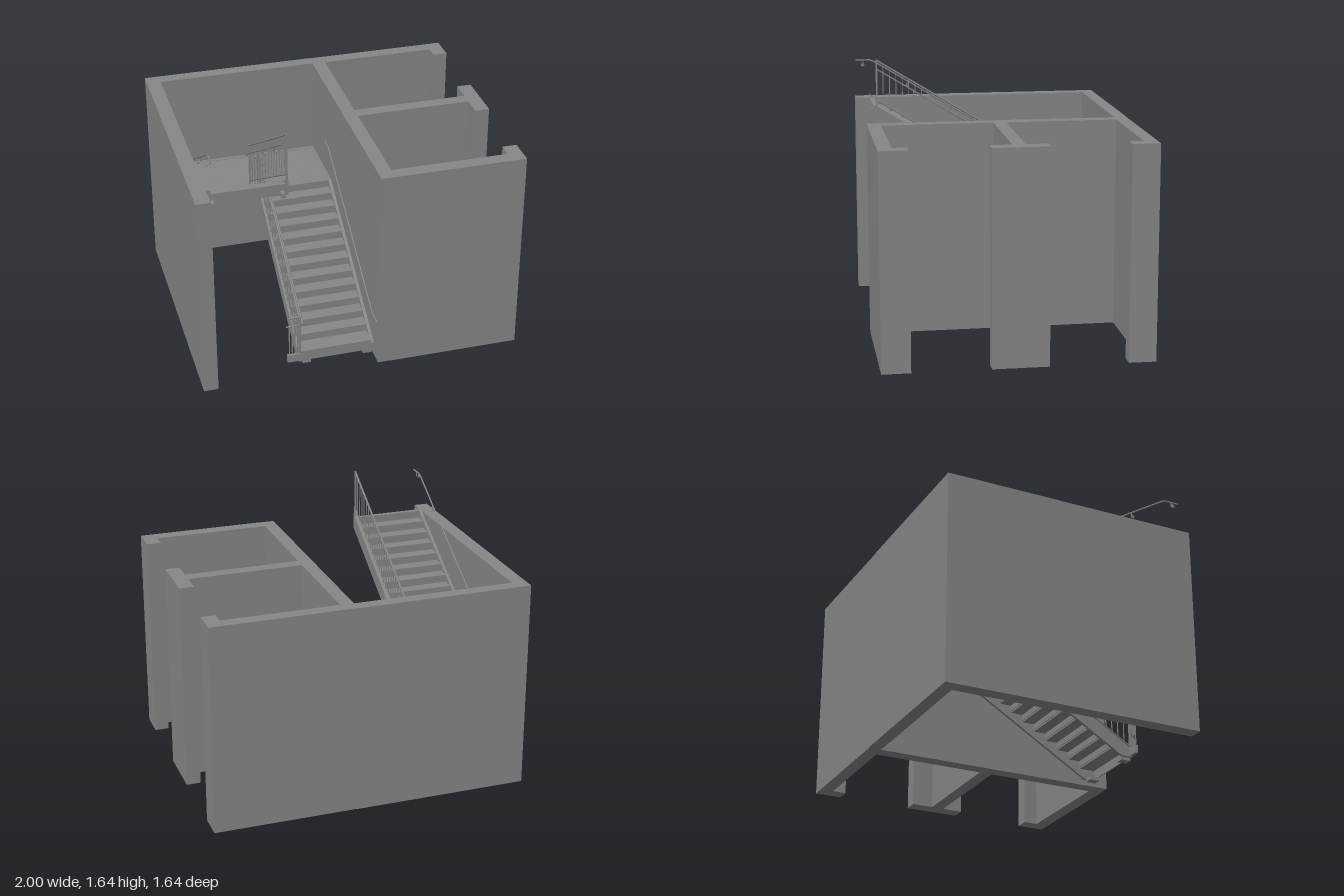
import * as THREE from 'three';

const mat = new THREE.MeshStandardMaterial({ color: 0x868686, side: THREE.DoubleSide });
const SLOPE = 0.609, RUN = 0.081;
const WALL_H = 1.32, LANDING_Y = 0.697;

function add(parent, name, geometry) {
  const mesh = new THREE.Mesh(geometry, mat);
  mesh.name = name;
  parent.add(mesh);
  return mesh;
}

// Box given by its limits
function box(parent, name, x0, x1, y0, y1, z0, z1) {
  const g = new THREE.BoxGeometry(x1 - x0, y1 - y0, z1 - z0);
  g.translate((x0 + x1) / 2, (y0 + y1) / 2, (z0 + z1) / 2);
  return add(parent, name, g);
}

// Side profile of [z, y] points, extruded from x0 to x1
function plate(parent, name, x0, x1, points) {
  const shape = new THREE.Shape(points.map(([z, y]) => new THREE.Vector2(-z, y)));
  const g = new THREE.ExtrudeGeometry(shape, { depth: x1 - x0, bevelEnabled: false });
  g.rotateY(Math.PI / 2).translate(x0, 0, 0);
  return add(parent, name, g);
}

// Round bar through a list of [x, y, z] points
function bar(parent, name, points, r) {
  const path = new THREE.CurvePath();
  const v = points.map(p => new THREE.Vector3(...p));
  for (let i = 1; i < v.length; i++) path.add(new THREE.LineCurve3(v[i - 1], v[i]));
  return add(parent, name, new THREE.TubeGeometry(path, (v.length - 1) * 12, r, 8, false));
}

function buildWalls() {
  const walls = new THREE.Group();
  walls.name = 'walls';
  const plan = [
    ['leftWall', -1, -0.91, -0.74, 0.817],
    ['backWallStair', -1, 0.1, -0.82, -0.74],
    ['backWallRooms', 0.1, 1, -0.817, -0.735],
    ['middleWall', 0.1, 0.185, -0.735, 0.817],
    ['partitionWall', 0.185, 0.91, -0.04, 0.04],
    ['frontWall', 0.185, 0.91, 0.735, 0.82],
    ['backReturn', 0.91, 1, -0.735, -0.65],
    ['partitionReturn', 0.91, 1, -0.175, 0.17],
    ['frontReturn', 0.91, 1, 0.645, 0.82],
  ];
  for (const [name, x0, x1, z0, z1] of plan) box(walls, name, x0, x1, 0, WALL_H, z0, z1);
  return walls;
}

// Folded steps: dir is the z direction of climbing
function buildSteps(parent, x0, x1, zFirst, yFirst, count, rise, dir) {
  for (let i = 0; i < count; i++) {
    const z = zFirst + dir * RUN * i, y = yFirst + rise * i;
    const zEnd = z + dir * RUN;
    box(parent, 'riser', x0, x1, y, y + rise, z - 0.004, z + 0.004);
    if (i < count - 1) {
      box(parent, 'tread', x0, x1, y + rise - 0.01, y + rise, Math.min(z, zEnd), Math.max(z, zEnd));
    }
  }
}

// Sloped guard with posts, two rails and balusters; topAt(z) is the height of its top rail
function buildGuard(parent, x, topAt, zA, zB) {
  const guard = new THREE.Group();
  guard.name = 'guard';
  const at = (z, drop) => [x, topAt(z) - drop, z];
  bar(guard, 'topRail', [at(zA, 0.006), at(zB, 0.006)], 0.006);
  bar(guard, 'bottomRail', [at(zA, 0.265), at(zB, 0.265)], 0.005);
  for (const z of [zA, zB]) {
    box(guard, 'post', x - 0.006, x + 0.006, topAt(z) - 0.32, topAt(z), z - 0.005, z + 0.005);
  }
  const n = 24;
  for (let i = 1; i < n; i++) {
    const z = zA + (zB - zA) * i / n;
    box(guard, 'baluster', x - 0.0025, x + 0.0025, topAt(z) - 0.265, topAt(z) - 0.006, z - 0.0025, z + 0.0025);
  }
  parent.add(guard);
}

// Short level guard that closes the gap between the flights
function buildGapGuard(parent, y0, y1, z) {
  const guard = new THREE.Group();
  guard.name = 'gapGuard';
  bar(guard, 'topRail', [[-0.44, y1 - 0.006, z], [-0.37, y1 - 0.006, z]], 0.006);
  bar(guard, 'bottomRail', [[-0.44, y0, z], [-0.37, y0, z]], 0.005);
  for (const x of [-0.44, -0.422, -0.405, -0.388, -0.37]) {
    box(guard, 'baluster', x - 0.003, x + 0.003, y0, y1 - 0.006, z - 0.003, z + 0.003);
  }
  parent.add(guard);
}

// Hooked handrail bracket from the rail towards xWall
function bracket(parent, x, y, z, xWall) {
  bar(parent, 'railBracket', [[x, y, z], [x, y - 0.03, z], [xWall, y - 0.035, z]], 0.004);
  const rose = new THREE.CylinderGeometry(0.011, 0.011, 0.005, 12);
  rose.rotateZ(Math.PI / 2).translate(xWall, y - 0.035, z);
  add(parent, 'bracketRose', rose);
}

export function createModel() {
  const model = new THREE.Group();
  model.name = 'stairwell';
  model.add(buildWalls());

  const lowerTop = z => 0.37 + SLOPE * (0.72 - z);
  const upperTop = z => 1.64 - SLOPE * (0.71 - z);

  // Lower flight, climbing to the back
  const lower = new THREE.Group();
  lower.name = 'lowerFlight';
  buildSteps(lower, -0.365, 0.085, 0.615, 0.109, 12, 0.049, -1);
  box(lower, 'bottomTread', -0.365, 0.085, 0.099, 0.109, 0.615, 0.725);
  box(lower, 'bottomRiser', -0.365, 0.085, 0.04, 0.109, 0.717, 0.725);
  for (const x of [-0.36, 0.03]) box(lower, 'foot', x, x + 0.055, 0.018, 0.04, 0.66, 0.725);
  for (const x of [-0.385, 0.082]) {
    const top = z => lowerTop(z) - 0.28;
    plate(lower, 'stringer', x, x + 0.018, [
      [0.725, 0.035], [0.725, top(0.725)], [-0.28, top(-0.28)],
      [-0.28, 0.59], [-0.245, 0.59], [-0.245, top(-0.245) - 0.1], [0.65, 0.035],
    ]);
  }
  buildGuard(lower, -0.375, lowerTop, 0.715, -0.285);
  model.add(lower);

  // Upper flight, climbing to the front
  const upper = new THREE.Group();
  upper.name = 'upperFlight';
  buildSteps(upper, -0.895, -0.45, -0.275, LANDING_Y, 13, (WALL_H - LANDING_Y) / 13, 1);
  box(upper, 'topTread', -0.895, -0.45, 1.31, 1.32, 0.697, 0.725);
  for (const x of [-0.912, -0.453]) {
    const top = z => upperTop(z) - 0.305;
    plate(upper, 'stringer', x, x + 0.02, [
      [-0.28, 0.59], [-0.28, top(-0.28)], [0.725, top(0.725)],
      [0.725, top(0.725) - 0.1], [-0.245, top(-0.245) - 0.1], [-0.245, 0.59],
    ]);
  }
  buildGuard(upper, -0.44, upperTop, 0.71, -0.285);
  for (const x of [-0.895, -0.475]) box(upper, 'topBracket', x, x + 0.025, 1.225, 1.255, 0.66, 0.725);
  model.add(upper);

  // Landing with edge beam, wall angles and deck ribs
  const landing = new THREE.Group();
  landing.name = 'landing';
  box(landing, 'deck', -0.91, 0.1, 0.655, LANDING_Y, -0.74, -0.28);
  box(landing, 'edgeBeam', -0.91, 0.1, 0.56, 0.655, -0.3, -0.28);
  box(landing, 'backAngle', -0.91, 0.1, 0.6, LANDING_Y + 0.003, -0.74, -0.718);
  for (const x of [-0.91, 0.088]) box(landing, 'sideAngle', x, x + 0.012, 0.6, LANDING_Y + 0.003, -0.718, -0.3);
  for (let i = 0; i < 14; i++) {
    const x = -0.885 + i * 0.0735;
    box(landing, 'deckRib', x - 0.003, x + 0.003, 0.63, LANDING_Y + 0.001, -0.7, -0.31);
  }
  model.add(landing);

  // Guards and base plate across the gap
  buildGapGuard(model, 0.09, 0.37, 0.718);
  buildGapGuard(model, 0.72, 0.985, -0.29);
  box(model, 'gapBasePlate', -0.453, -0.365, 0.04, 0.09, 0.705, 0.725);

  // Handrails: one looping round the gap, one on each wall
  const rails = new THREE.Group();
  rails.name = 'handrails';
  const lowY = z => lowerTop(z) - 0.06, highY = z => upperTop(z) - 0.065;
  bar(rails, 'innerHandrail', [
    [-0.46, 0.31, 0.727], [-0.355, 0.31, 0.727], [-0.355, lowY(-0.28), -0.28], [-0.355, 0.925, -0.302],
    [-0.46, 0.95, -0.302], [-0.46, highY(-0.28), -0.28], [-0.46, highY(0.71), 0.71],
  ], 0.005);
  bar(rails, 'rightWallHandrail', [
    [0.088, 0.31, 0.815], [0.088, 0.31, 0.72],
    [0.088, lowY(-0.29), -0.29], [0.088, 0.925, -0.4], [0.1, 0.925, -0.4],
  ], 0.005);
  bar(rails, 'leftWallHandrail', [
    [-0.91, 0.92, -0.47], [-0.897, 0.92, -0.47], [-0.897, 0.92, -0.365],
    [-0.897, highY(0.71), 0.71], [-0.897, 1.575, 0.815],
  ], 0.005);
  for (const z of [-0.1, 0.18, 0.47]) {
    bracket(rails, -0.897, highY(z), z, -0.91);
    bracket(rails, -0.46, highY(z), z, -0.443);
    bracket(rails, 0.088, lowY(z), z, 0.1);
    bracket(rails, -0.355, lowY(z), z, -0.372);
  }
  bracket(rails, -0.897, 1.575, 0.765, -0.915);
  bracket(rails, 0.088, 0.31, 0.765, 0.1);
  model.add(rails);

  return model;
}
